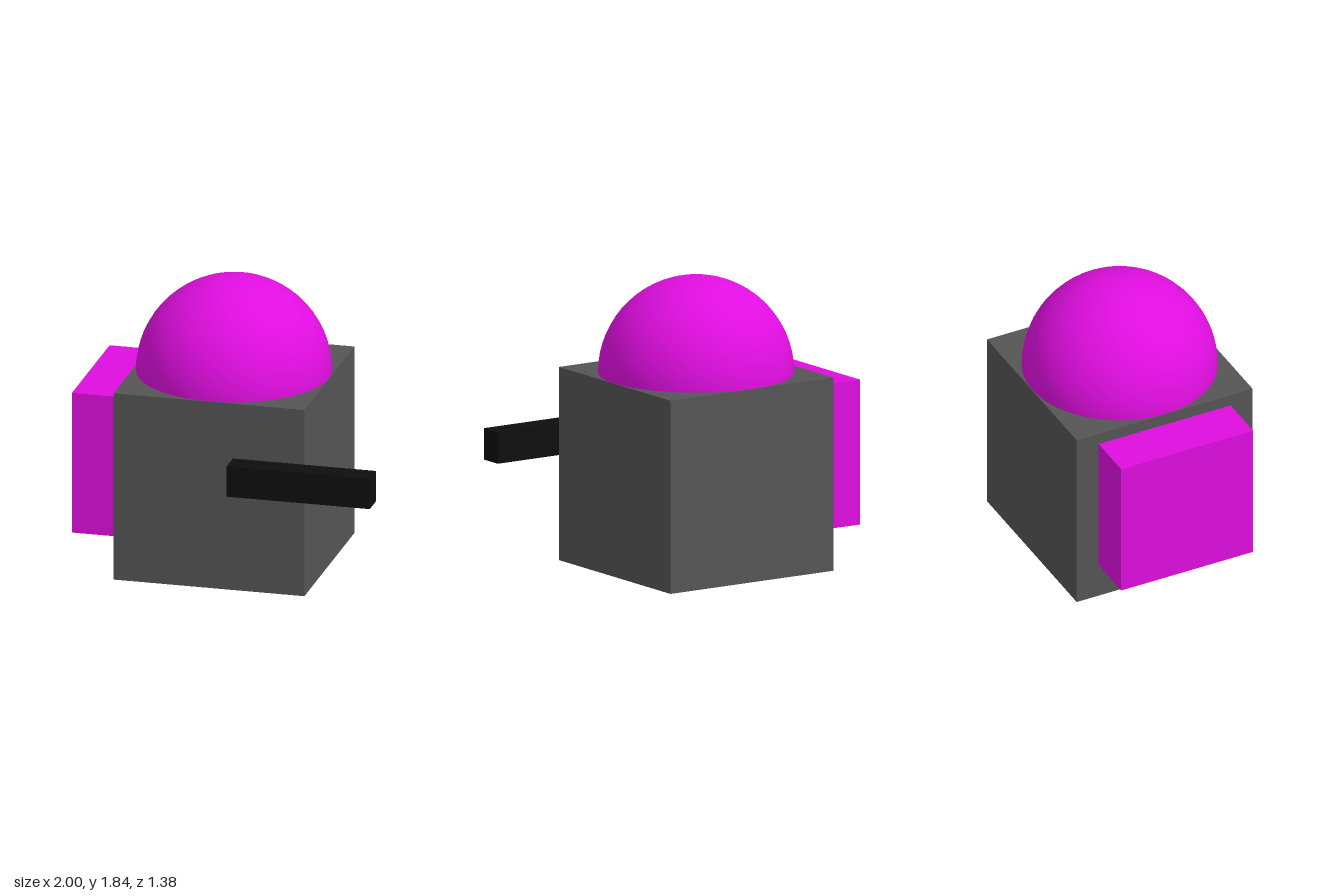
import * as THREE from 'three';

export function createModel() {
  const model = new THREE.Group();
  const material = (name, color) => {
    const m = new THREE.MeshStandardMaterial({ color });
    m.name = name;
    return m;
  };
  const grey = material('dark grey', 0x555555);
  const magenta = material('magenta', 0xe00ee0);
  const black = material('black', 0x0e0e0e);

  const U = 2 / 13; // the blocks sit on a grid of 13 units across
  const add = (name, geometry, mat, x, y, z) => {
    const mesh = new THREE.Mesh(geometry, mat);
    mesh.name = name;
    mesh.position.set(x, y, z);
    model.add(mesh);
  };
  const block = (name, mat, w, h, d, x, y, z) =>
    add(name, new THREE.BoxGeometry(w * U, h * U, d * U), mat, x * U, y * U, z * U);

  // Cube body, offset to leave room for the side parts
  block('body', grey, 8, 8, 8, -0.5, 4, -0.5);
  // Flat pack on the right side
  block('sidePack', magenta, 2, 6, 6, -5.5, 4.5, -0.5);
  // Bar across the front, reaching past the left side
  block('frontBar', black, 6, 1.3, 1, 3.5, 5, 4);
  // Dome head
  const dome = new THREE.SphereGeometry(3.98 * U, 48, 16, 0, Math.PI * 2, 0, Math.PI / 2);
  add('domeHead', dome, magenta, -0.5 * U, 8 * U, -0.5 * U);

  return model;
}
